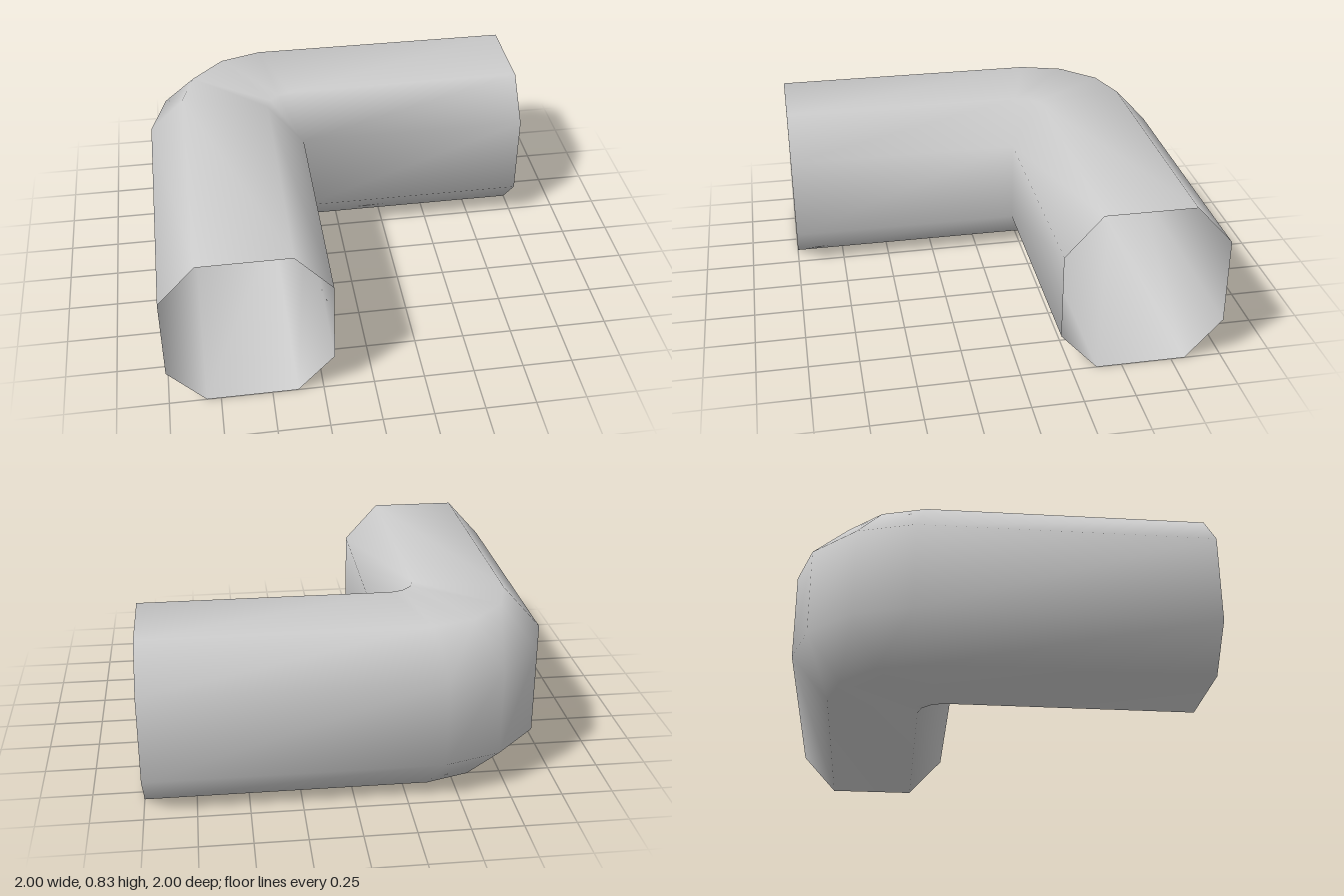
import * as THREE from 'three';
import { mergeVertices } from 'three/addons/utils/BufferGeometryUtils.js';

// Octagonal section: [0 = inside of bend .. 1 = outside, height]
const SECTION = [
  [1, 0.2], [1, 0.635], [0.775, 0.835], [0.224, 0.835],
  [0, 0.635], [0, 0.2], [0.224, 0], [0.775, 0],
];

// Plan lines across the pipe: [inner x, inner z, outer x, outer z];
// the four middle ones fan around the inside corner.
const IN = -0.195;
const RINGS = [
  [IN, 1, -1, 1],
  [IN, IN, -1, -0.425],
  [IN, IN, -0.915, -0.7],
  [IN, IN, -0.7, -0.915],
  [IN, IN, -0.425, -1],
  [1, IN, 1, -1],
];

function pipeGeometry() {
  const positions = [];
  const index = [];
  const n = SECTION.length;
  for (const [ix, iz, ox, oz] of RINGS) {
    for (const [t, y] of SECTION) {
      positions.push(ix + (ox - ix) * t, y, iz + (oz - iz) * t);
    }
  }
  for (let i = 0; i < RINGS.length - 1; i++) {
    for (let j = 0; j < n; j++) {
      const a = i * n + j;
      const b = i * n + (j + 1) % n;
      index.push(a, b, a + n, b, b + n, a + n);
    }
  }
  let geometry = new THREE.BufferGeometry();
  geometry.setAttribute('position', new THREE.Float32BufferAttribute(positions, 3));
  geometry.setIndex(index);
  // Weld the fan at the inside corner, then smooth
  geometry = mergeVertices(geometry);
  geometry.computeVertexNormals();
  return geometry;
}

export function createModel() {
  const group = new THREE.Group();
  group.name = 'pipeElbow';
  const material = new THREE.MeshStandardMaterial({ color: 0xcccccc, side: THREE.DoubleSide });
  // Open-ended pipe with a right-angle bend
  const pipe = new THREE.Mesh(pipeGeometry(), material);
  pipe.name = 'bentPipe';
  group.add(pipe);
  return group;
}
